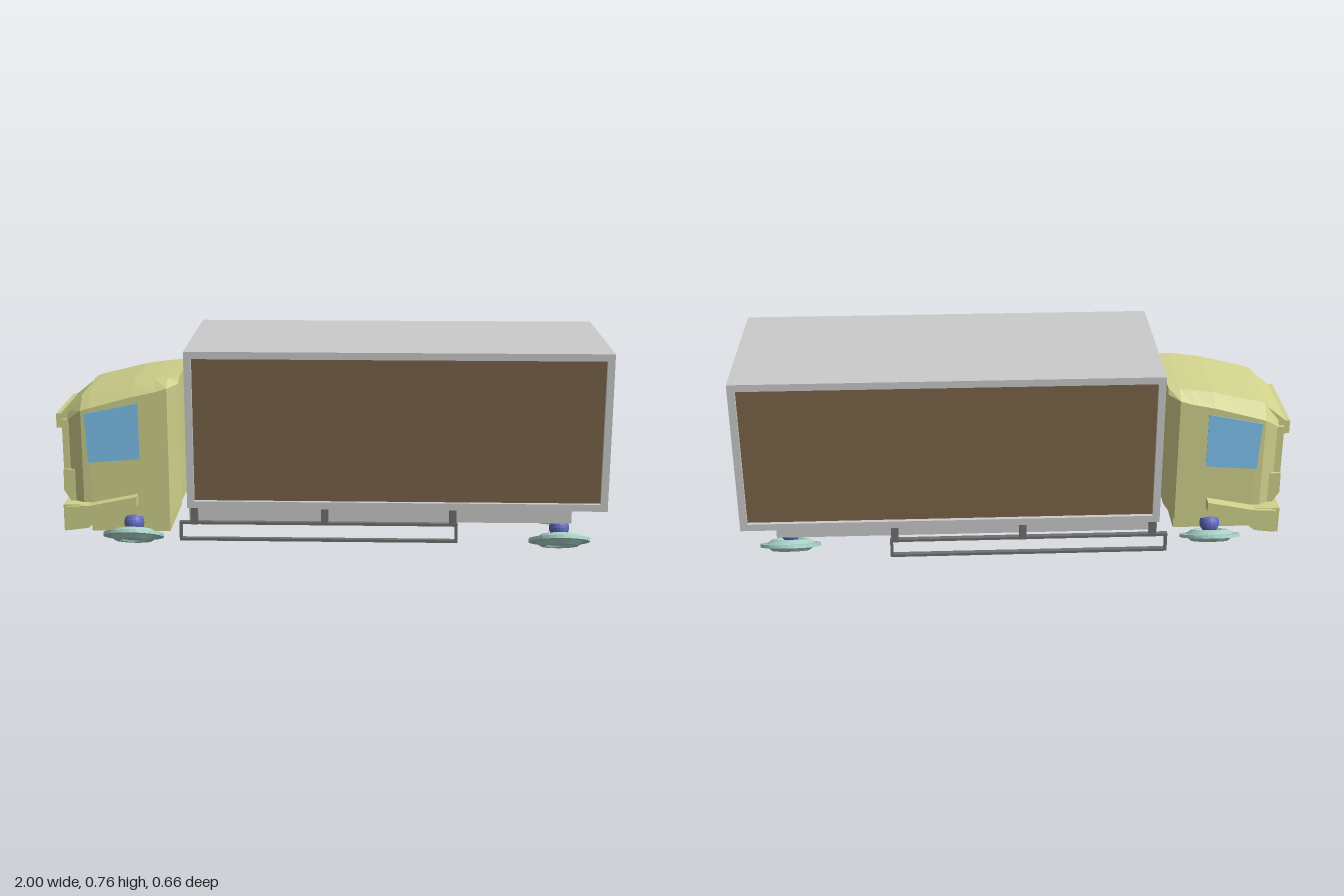
import * as THREE from 'three';

const mat = (color, side = THREE.FrontSide) =>
  new THREE.MeshStandardMaterial({ color, flatShading: true, side });
const GREY = mat(0xcccccc), OLIVE = mat(0xd0d28c), BROWN = mat(0x7a6449), GLASS = mat(0x7fc4f2),
  TEAL = mat(0xa9d2c9), BLUE = mat(0x6068bc), DARK = mat(0x707070);

function add(parent, name, geometry, material) {
  const m = new THREE.Mesh(geometry, material);
  m.name = name;
  parent.add(m);
  return m;
}

// Box given by its lower and upper limits on each axis
function block(parent, name, x0, x1, y0, y1, z0, z1, material) {
  const m = add(parent, name, new THREE.BoxGeometry(x1 - x0, y1 - y0, z1 - z0), material);
  m.position.set((x0 + x1) / 2, (y0 + y1) / 2, (z0 + z1) / 2);
  return m;
}

// Side profile in x and y, extruded between two z values
function slab(parent, name, points, z0, z1, material) {
  const shape = new THREE.Shape(points.map(([x, y]) => new THREE.Vector2(x, y)));
  const g = new THREE.ExtrudeGeometry(shape, { depth: z1 - z0, bevelEnabled: false });
  return add(parent, name, g.translate(0, 0, z0), material);
}

// Rectangular frame in the x-y plane
function frame(x0, x1, y0, y1, t, depth) {
  const rect = (C, a, b, c, d) => new C([[a, c], [b, c], [b, d], [a, d]].map((p) => new THREE.Vector2(...p)));
  const shape = rect(THREE.Shape, x0, x1, y0, y1);
  shape.holes.push(rect(THREE.Path, x0 + t, x1 - t, y0 + t, y1 - t));
  return new THREE.ExtrudeGeometry(shape, { depth, bevelEnabled: false });
}

// Skin over cross-sections of equal point count, closed at both ends
function loft(rings) {
  const n = rings[0].length, pos = rings.flat(2), idx = [];
  for (let r = 0; r < rings.length - 1; r++)
    for (let i = 0; i < n; i++) {
      const a = r * n + i, b = r * n + (i + 1) % n;
      idx.push(a, a + n, b, b, a + n, b + n);
    }
  const last = (rings.length - 1) * n;
  for (let i = 1; i < n - 1; i++) idx.push(0, i, i + 1, last, last + i + 1, last + i);
  const g = new THREE.BufferGeometry();
  g.setAttribute('position', new THREE.Float32BufferAttribute(pos, 3));
  g.setIndex(idx);
  const flat = g.toNonIndexed();
  flat.computeVertexNormals();
  return flat;
}

function cargoBox() {
  const g = new THREE.Group();
  g.name = 'cargoBox';
  const x0 = -0.51, x1 = 1, y0 = 0.188, y1 = 0.763, z0 = -0.33, z1 = 0.288, t = 0.026, d = 0.02;
  block(g, 'boxCore', x0, x1 - d, y0 + 0.005, y1 - 0.005, z0 + d, z1 - d, GREY);
  // Raised borders around the recessed side panels
  for (const [name, z, pz] of [['left', z1 - d, z1 - d], ['right', z0, z0 + d]]) {
    add(g, name + 'SideFrame', frame(x0, x1, y0, y1, t, d), GREY).position.z = z;
    block(g, name + 'SidePanel', x0 + t, x1 - t, y0 + t, y1 - t, pz - 0.005, pz + 0.005, BROWN);
  }
  block(g, 'roofPlate', x0, x1, y1 - 0.02, y1, z0, z1, GREY);
  block(g, 'floorPlate', x0, x1, y0, y0 + 0.02, z0, z1, GREY);
  // Rear border, turned to face along x
  const rear = add(g, 'doorFrame', frame(-z1, -z0, y0, y1, t, d), GREY);
  rear.rotation.y = Math.PI / 2;
  rear.position.x = x1 - d;
  block(g, 'doorDivider', x1 - d, x1 - 0.008, y0 + t, y1 - t, -0.024, -0.018, GREY);
  block(g, 'chassis', x0, 0.88, 0.125, y0, -0.275, 0.235, GREY);
  return g;
}

function sideGuard(z, name) {
  const g = new THREE.Group();
  g.name = name;
  add(g, 'guardRail', frame(-0.545, 0.468, 0.052, 0.125, 0.01, 0.018), DARK).position.z = -0.009;
  for (const x of [-0.49, -0.015, 0.45])
    block(g, 'guardPost', x - 0.013, x + 0.013, 0.115, 0.19, -0.011, 0.011, DARK);
  g.position.z = z;
  return g;
}

function cab() {
  const g = new THREE.Group();
  g.name = 'cab';
  // Stations along x: roof height, bottom height, half width, roof half width, shoulder drop
  const section = ([x, top, bottom, w, r, drop]) => [
    [x, bottom, -w], [x, bottom, w], [x, 0.3, w], [x, top - drop, w],
    [x, top, r], [x, top, -r], [x, top - drop, -w], [x, 0.3, -w],
  ];
  add(g, 'cabShell', loft([
    [-0.955, 0.515, 0.17, 0.172, 0.155, 0.03],
    [-0.9, 0.575, 0.14, 0.203, 0.16, 0.05],
    [-0.87, 0.585, 0.13, 0.205, 0.162, 0.05],
    [-0.71, 0.624, 0.13, 0.205, 0.164, 0.045],
    [-0.63, 0.636, 0.125, 0.205, 0.164, 0.04],
    [-0.585, 0.64, 0.125, 0.205, 0.164, 0.03],
    [-0.545, 0.642, 0.175, 0.17, 0.155, 0.02],
  ].map(section)), OLIVE);
  // Front face: sill, pillars, visor and glass set back between them
  slab(g, 'frontPanel', [[-0.945, 0.17], [-0.9, 0.17], [-0.9, 0.3], [-0.975, 0.3], [-0.976, 0.22]], -0.185, 0.185, OLIVE);
  for (const s of [-1, 1])
    block(g, 'frontPillar', -0.975, -0.93, 0.29, 0.485, s * 0.162 - 0.013, s * 0.162 + 0.013, OLIVE);
  slab(g, 'visor', [[-0.998, 0.452], [-0.97, 0.452], [-0.94, 0.48], [-0.9, 0.57], [-0.98, 0.505], [-0.998, 0.503]], -0.16, 0.16, OLIVE);
  block(g, 'windscreen', -0.96, -0.95, 0.3, 0.485, -0.15, 0.15, GLASS);
  // Side windows
  const win = [[-0.888, 0.515], [-0.878, 0.332], [-0.69, 0.347], [-0.69, 0.556]];
  slab(g, 'leftWindow', win, 0.2, 0.208, GLASS);
  slab(g, 'rightWindow', win, -0.208, -0.2, GLASS);
  // Bumper and its wedge-shaped side wings
  slab(g, 'bumper', [[-0.97, 0.08], [-0.88, 0.095], [-0.88, 0.18], [-0.97, 0.18]], -0.235, 0.235, OLIVE);
  for (const s of [-1, 1]) {
    const a = s * 0.19, b = s * 0.246;
    slab(g, 'bumperWing', [[-0.955, 0.085], [-0.88, 0.095], [-0.83, 0.135], [-0.7, 0.175], [-0.7, 0.215], [-0.87, 0.18], [-0.955, 0.175]],
      Math.min(a, b), Math.max(a, b), OLIVE);
  }
  block(g, 'underbody', -0.88, -0.59, 0.06, 0.16, -0.152, 0.172, OLIVE);
  return g;
}

// Thin disc wheel folded flat, with its outer face turned down and out
function wheel(x, z, side) {
  const g = new THREE.Group();
  g.name = 'wheel';
  const profile = [[0, 0.014], [0.045, 0.014], [0.05, 0.021], [0.068, 0.021], [0.088, 0.006], [0.111, 0.006],
    [0.111, -0.006], [0.088, -0.006], [0.068, -0.021], [0.05, -0.021], [0.045, -0.014], [0, -0.014]];
  const pts = profile.map(([r, y]) => new THREE.Vector2(r, y)).reverse();
  const disc = add(g, 'wheelDisc', new THREE.LatheGeometry(pts, 28), TEAL);
  disc.rotation.x = -side * 0.464;
  disc.position.set(x, 0.058, z);
  const ball = add(g, 'wheelJoint', new THREE.SphereGeometry(0.037, 16, 12), BLUE);
  ball.position.set(x, 0.1, z - side * 0.02);
  return g;
}

export function createModel() {
  const model = new THREE.Group();
  model.name = 'boxTruck';
  model.add(cargoBox(), cab(), sideGuard(0.243, 'leftGuard'), sideGuard(-0.299, 'rightGuard'));
  for (const [x, z, s] of [[-0.72, 0.212, 1], [-0.72, -0.212, -1], [0.84, 0.228, 1], [0.84, -0.213, -1]])
    model.add(wheel(x, z, s));
  return model;
}
